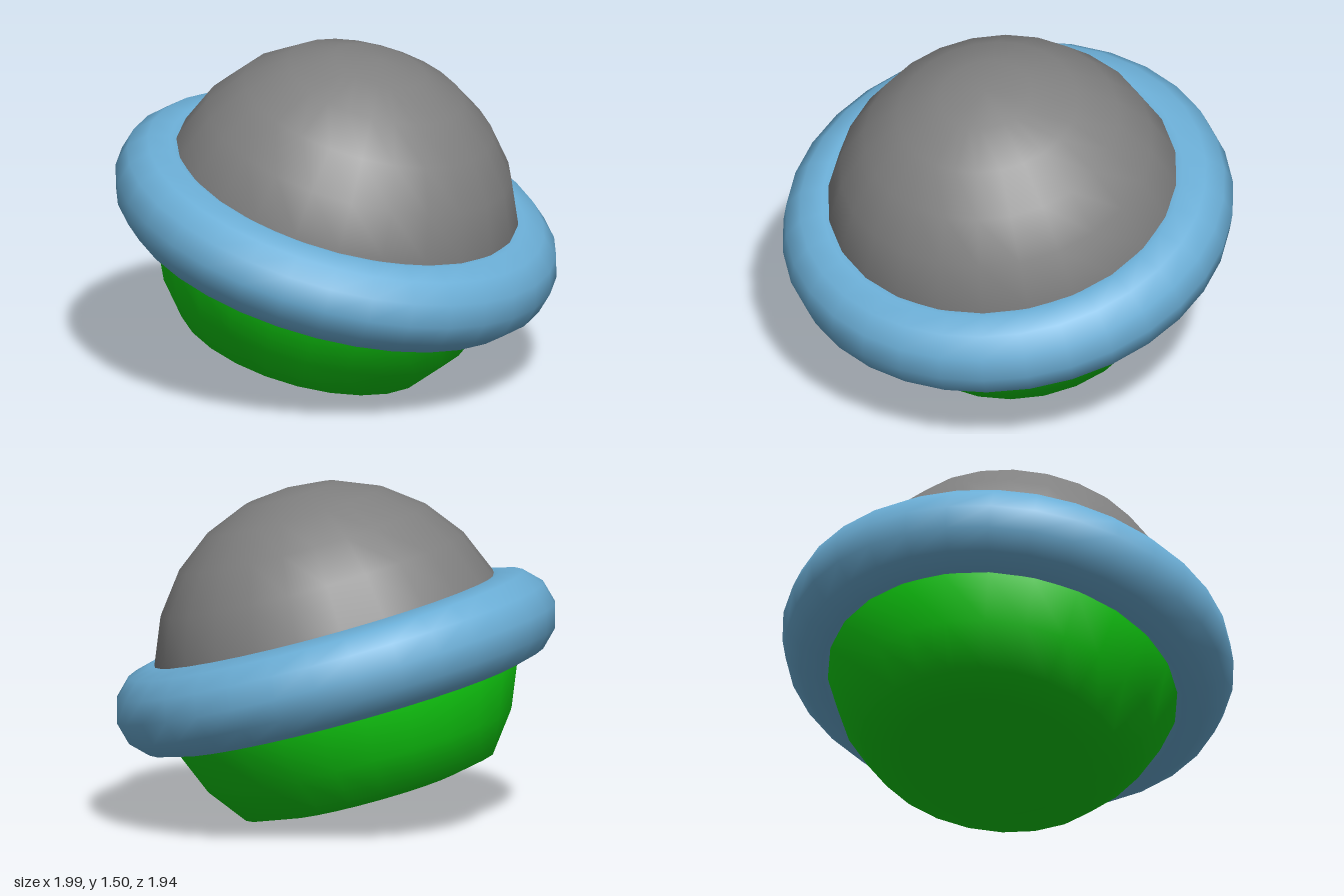
import * as THREE from 'three';

const RADIUS = 0.8;

export function createModel() {
  const grey = new THREE.MeshStandardMaterial({ color: 0x808080 });
  grey.name = 'dome grey';
  const blue = new THREE.MeshStandardMaterial({ color: 0x6baed6 });
  blue.name = 'ring blue';
  const green = new THREE.MeshStandardMaterial({ color: 0x10cc10 });
  green.name = 'hull green';

  const model = new THREE.Group();
  model.name = 'saucer';

  // All parts share one tilted axis
  const body = new THREE.Group();
  body.name = 'tiltedBody';
  body.position.y = 0.686;
  const axis = new THREE.Vector3(0.11, 0.962, 0.25).normalize();
  body.quaternion.setFromUnitVectors(new THREE.Vector3(0, 1, 0), axis);
  model.add(body);

  const add = (name, geometry, material) => {
    const mesh = new THREE.Mesh(geometry, material);
    mesh.name = name;
    body.add(mesh);
    return mesh;
  };

  // Upper hemisphere
  add('dome', new THREE.SphereGeometry(RADIUS, 24, 6, 0, Math.PI * 2, 0, Math.PI / 2), grey);

  // Round rim
  const ring = new THREE.TorusGeometry(RADIUS, 0.2, 12, 32);
  ring.rotateX(-Math.PI / 2);
  add('ring', ring, blue);

  // Lower hemisphere with its underside pressed flat
  const profile = [];
  for (let i = 0; i <= 6; i++) {
    const a = (i / 6) * Math.PI / 2;
    profile.push(new THREE.Vector2(RADIUS * Math.sin(a), Math.max(-0.6, -RADIUS * Math.cos(a))));
  }
  add('hull', new THREE.LatheGeometry(profile, 24), green);

  return model;
}
